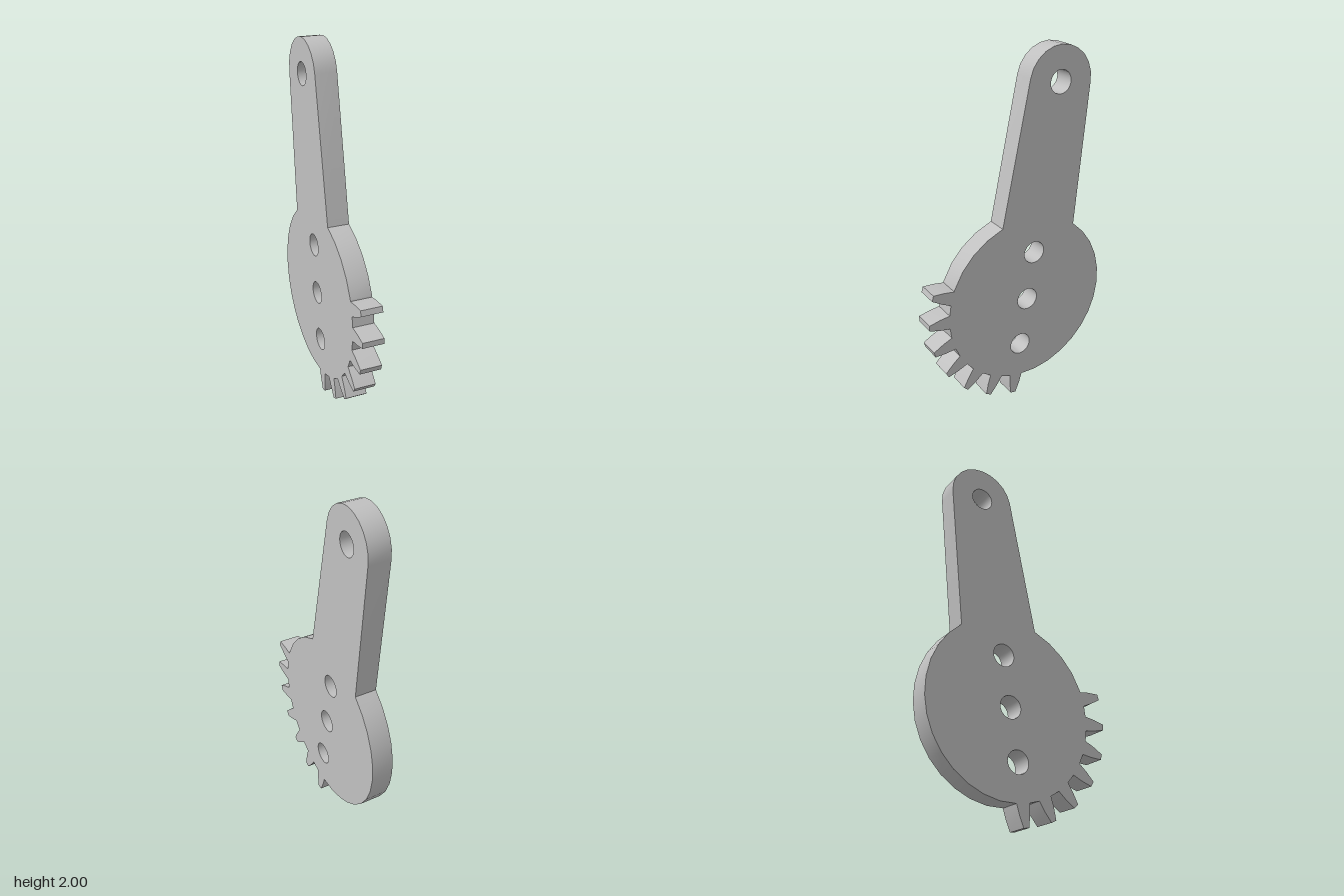
import * as THREE from 'three';
import { toCreasedNormals } from 'three/addons/utils/BufferGeometryUtils.js';

const HALF = 0.061;                                  // half plate thickness
const HUB = { z: -0.055, y: 0.607, r: 0.493 };       // toothed disc
const TIP = { z: -0.249, y: 1.81, r: 0.19 };         // rounded lever end
const PITCH = 360 / 22;
const TEETH = 7;
const FIRST = 17;                                    // angle of the top tooth

// Half of a tooth: radius and half width, from root to tip
const TOOTH = [[0.489, 0.040], [0.545, 0.032], [0.609, 0.016]];

const rad = THREE.MathUtils.degToRad;

// Point at an angle on a circle, 0 degrees facing the front
function polar(c, deg, r = c.r) {
  return new THREE.Vector2(c.z + r * Math.cos(rad(deg)), c.y + r * Math.sin(rad(deg)));
}

function arc(c, from, to, steps) {
  return Array.from({ length: steps + 1 }, (_, i) => polar(c, from + (to - from) * i / steps));
}

// Tooth outline running from its lower flank over the tip to its upper flank
function tooth(deg) {
  const a = rad(deg);
  const at = (r, w) => new THREE.Vector2(
    HUB.z + r * Math.cos(a) - w * Math.sin(a),
    HUB.y + r * Math.sin(a) + w * Math.cos(a));
  return [
    ...TOOTH.map(([r, w]) => at(r, -w)),
    ...TOOTH.slice().reverse().map(([r, w]) => at(r, w)),
  ];
}

export function createModel() {
  const grey = new THREE.MeshStandardMaterial({ color: 0xc0c0c0 });
  grey.name = 'light grey';

  // Outline, counterclockwise: teeth, disc front, lever, disc back
  const outline = [];
  for (let i = TEETH - 1; i >= 0; i--) outline.push(...tooth(FIRST - i * PITCH));
  outline.push(...arc(HUB, 22.8, 71.4, 4));
  outline.push(...arc(TIP, 11.7, 186, 11));
  outline.push(...arc(HUB, 127.8, 274.3, 13).slice(0, -1));
  const shape = new THREE.Shape(outline);

  // Three holes in the disc and one in the lever end
  for (const [z, y] of [[TIP.z, TIP.y], [-0.098, 0.886], [HUB.z, HUB.y], [-0.009, 0.326]]) {
    const hole = new THREE.Path();
    hole.absarc(z, y, 0.063, 0, Math.PI * 2, true);
    shape.holes.push(hole);
  }

  const extruded = new THREE.ExtrudeGeometry(shape, {
    depth: HALF * 2, bevelEnabled: false, curveSegments: 12,
  });
  extruded.translate(0, 0, -HALF);
  extruded.rotateY(-Math.PI / 2);

  const lever = new THREE.Mesh(toCreasedNormals(extruded, 0.5), grey);
  lever.name = 'gearLever';

  const group = new THREE.Group();
  group.name = 'sectorGearLever';
  group.add(lever);
  return group;
}
